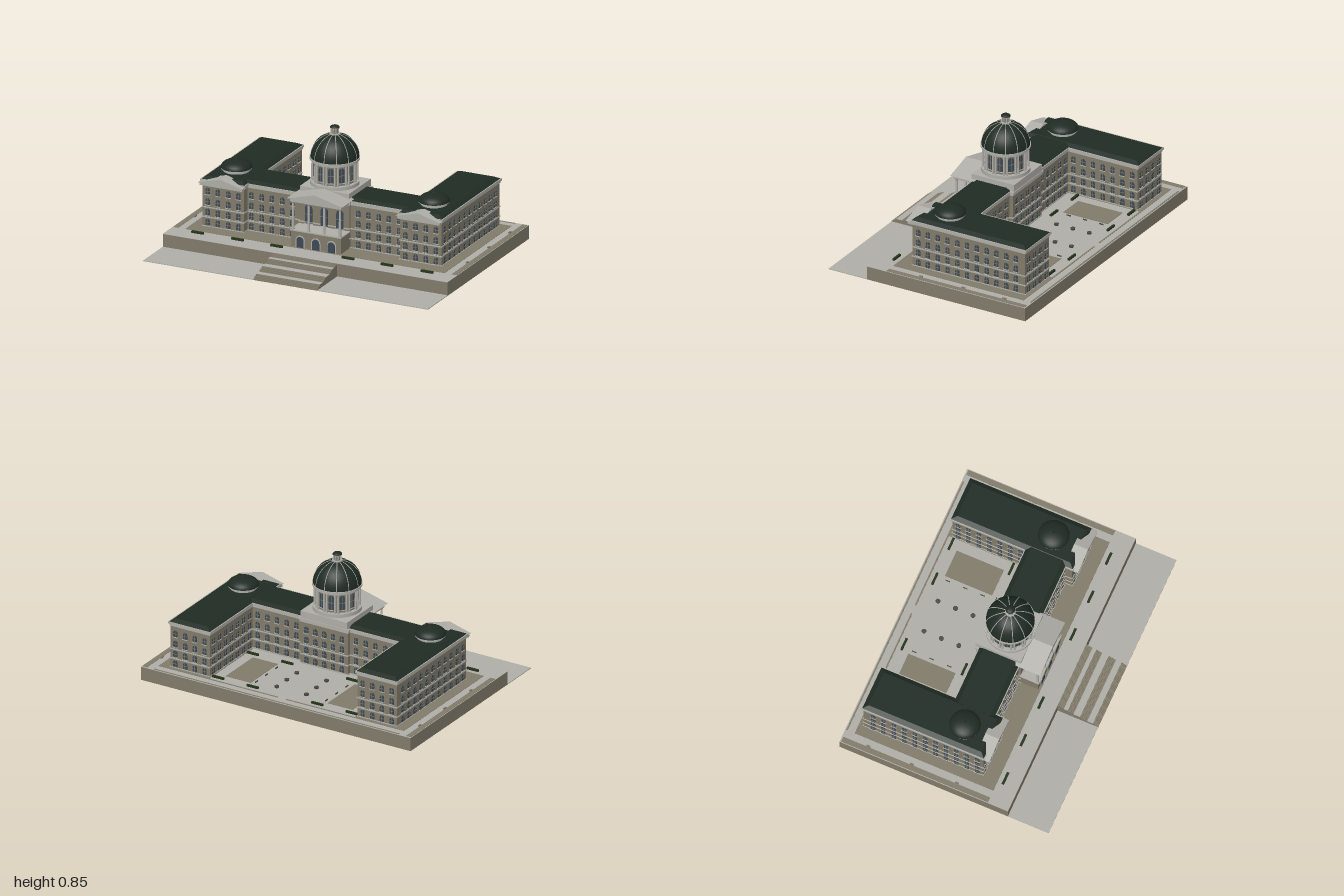
import * as THREE from 'three';
import { mergeGeometries } from 'three/addons/utils/BufferGeometryUtils.js';

const mat = (name, color) => {
  const m = new THREE.MeshStandardMaterial({ color });
  m.name = name;
  return m;
};

export function createModel() {
  const model = new THREE.Group();
  model.name = 'domedCivicBuilding';
  const wall = mat('taupeWall', 0x807a69);
  const stone = mat('paleStone', 0xaeada7);
  const roof = mat('darkGreenRoof', 0x1f2b23);
  const hedge = mat('hedgeGreen', 0x24331a);
  const glass = mat('slateGlass', 0x3b4854);
  const iron = mat('darkIron', 0x4a4a46);

  const add = (name, geo, material, x = 0, y = 0, z = 0) => {
    const m = new THREE.Mesh(geo, material);
    m.name = name;
    m.position.set(x, y, z);
    model.add(m);
    return m;
  };
  // Box given by its limits
  const block = (name, material, x0, x1, y0, y1, z0, z1) =>
    add(name, new THREE.BoxGeometry(x1 - x0, y1 - y0, z1 - z0), material, (x0 + x1) / 2, (y0 + y1) / 2, (z0 + z1) / 2);
  const cyl = (name, material, r0, r1, y0, y1, x, z, n = 32) =>
    add(name, new THREE.CylinderGeometry(r1, r0, y1 - y0, n), material, x, (y0 + y1) / 2, z);
  // Low hipped roof: a box whose top corners are pulled inward
  const hip = (name, x0, x1, y0, y1, z0, z1, inset) => {
    const g = new THREE.BoxGeometry(x1 - x0, y1 - y0, z1 - z0).toNonIndexed();
    const p = g.attributes.position;
    for (let i = 0; i < p.count; i++) if (p.getY(i) > 0) {
      p.setX(i, p.getX(i) - Math.sign(p.getX(i)) * inset);
      p.setZ(i, p.getZ(i) - Math.sign(p.getZ(i)) * inset);
    }
    g.computeVertexNormals();
    add(name, g, roof, (x0 + x1) / 2, (y0 + y1) / 2, (z0 + z1) / 2);
  };
  const arch = (w, h, depth) => {
    const s = new THREE.Shape();
    s.moveTo(-w / 2, 0).lineTo(w / 2, 0).lineTo(w / 2, h - w / 2);
    s.absarc(0, h - w / 2, w / 2, 0, Math.PI, false);
    s.lineTo(-w / 2, 0);
    return new THREE.ExtrudeGeometry(s, { depth, bevelEnabled: false, curveSegments: 6 });
  };
  const gable = (name, w, y0, y1, x, z0, z1) => {
    const s = new THREE.Shape();
    s.moveTo(-w / 2, 0).lineTo(w / 2, 0).lineTo(0, y1 - y0).lineTo(-w / 2, 0);
    add(name, new THREE.ExtrudeGeometry(s, { depth: z1 - z0, bevelEnabled: false }), stone, x, y0, z0);
  };

  // Windows: glass, glazing bars and sill, merged for each facade
  const rows = [0.102, 0.17, 0.24, 0.31];
  const facade = (name, x, z, angle, offsets, ys = rows, w = 0.03, h = 0.044) => {
    const panes = [], bars = [], sills = [];
    const box = (bw, bh, bd, bx, by, bz) => new THREE.BoxGeometry(bw, bh, bd).translate(bx, by, bz).toNonIndexed();
    for (const y of ys) for (const o of offsets) {
      panes.push(arch(w, h, 0.004).translate(o, y, 0));
      bars.push(box(0.003, h, 0.006, o, y + h / 2, 0.003), box(w, 0.003, 0.006, o, y + h / 2, 0.003));
      sills.push(box(w + 0.008, 0.004, 0.008, o, y - 0.002, 0.004));
    }
    [['Windows', panes, glass], ['Bars', bars, wall], ['Sills', sills, stone]].forEach(([n, list, m]) => {
      add(name + n, mergeGeometries(list), m, x, 0, z).rotation.y = angle;
    });
  };
  const spread = (n, pitch) => Array.from({ length: n }, (_, i) => (i - (n - 1) / 2) * pitch);

  // Terrace, paving and planted strips
  block('terrace', wall, -1, 1, 0, 0.09, -0.72, 0.44);
  block('terracePaving', stone, -1, 1, 0.09, 0.092, -0.72, 0.44);
  block('forecourt', stone, -1, 1, 0, 0.005, 0.44, 0.72);
  block('frontBed', wall, -0.91, 0.91, 0.092, 0.094, 0.14, 0.3);
  block('backStrip', wall, -0.91, 0.91, 0.092, 0.094, -0.713, -0.703);
  for (const s of [-1, 1]) {
    const mirrored = (name, m, a, b, ...rest) => block(name, m, Math.min(s * a, s * b), Math.max(s * a, s * b), ...rest);
    mirrored('edgeStrip', wall, 0.96, 0.995, 0.092, 0.094, -0.71, 0.3);
    mirrored('sideBed', wall, 0.54, 0.91, 0.092, 0.094, -0.655, 0.14);
    mirrored('courtStrip', wall, 0.03, 0.54, 0.092, 0.094, -0.655, -0.645);
    mirrored('courtBed', wall, 0.285, 0.47, 0.092, 0.094, -0.56, -0.235);
    for (const x of [0.25, 0.525, 0.805]) mirrored('frontHedge', hedge, x - 0.042, x + 0.042, 0.092, 0.105, 0.33, 0.345);
    for (const z of [-0.61, -0.195]) for (const x of [0.24, 0.495])
      mirrored('courtHedge', hedge, x - 0.042, x + 0.042, 0.092, 0.105, z - 0.007, z + 0.007);
    for (const z of [-0.53, -0.41, -0.29]) {
      cyl('courtPlanter', iron, 0.014, 0.016, 0.092, 0.104, s * 0.11, z, 8);
      mirrored('courtBench', iron, 0.258, 0.262, 0.092, 0.1, z - 0.015, z + 0.015);
    }
    for (const z of [-0.54, -0.24, 0.07]) mirrored('sideBench', wall, 0.95, 0.96, 0.092, 0.1, z - 0.013, z + 0.013);
  }

  // Front stairs: stepped flights, pale landings and side walls
  const flights = [[0.44, 0.483, 0.09, 0.077], [0.51, 0.55, 0.077, 0.054], [0.595, 0.645, 0.054, 0.032], [0.684, 0.72, 0.032, 0.008]];
  const cheek = new THREE.Shape();
  cheek.moveTo(0.44, 0);
  flights.forEach(([z0, z1, y0, y1], k) => {
    cheek.lineTo(z0, y0 + 0.002).lineTo(z1, y1 + 0.002);
    for (let i = 0; i < 4; i++)
      block('stairStep', wall, -0.225, 0.225, 0, y0 + (y1 - y0) * (i + 1) / 4, z0 + (z1 - z0) * i / 4, z0 + (z1 - z0) * (i + 1) / 4);
    if (k < 3) {
      block('landingBase', wall, -0.225, 0.225, 0, y1 - 0.002, z1, flights[k + 1][0]);
      block('landing', stone, -0.225, 0.225, y1 - 0.002, y1, z1, flights[k + 1][0]);
    }
  });
  cheek.lineTo(0.72, 0).lineTo(0.44, 0);
  for (const x of [-0.235, 0.225]) {
    const g = new THREE.ExtrudeGeometry(cheek, { depth: 0.01, bevelEnabled: false });
    add('stairSideWall', g.rotateY(-Math.PI / 2).scale(-1, 1, 1).rotateY(Math.PI).scale(-1, 1, 1).translate(0.01, 0, 0), wall, x);
  }

  // Wall mass with string courses and cornice
  const mass = (name, x0, x1, z0, z1) => {
    const ring = (n, y0, y1, e) => block(name + n, stone, x0 - e, x1 + e, y0, y1, z0 - e, z1 + e);
    block(name + 'Walls', wall, x0, x1, 0.09, 0.4, z0, z1);
    ring('Plinth', 0.09, 0.098, 0.004);
    ring('LowerBand', 0.154, 0.161, 0.004);
    ring('UpperBand', 0.22, 0.227, 0.004);
    ring('Frieze', 0.382, 0.395, 0.005);
    ring('Cornice', 0.395, 0.41, 0.011);
  };
  mass('connector', -0.56, 0.56, -0.115, 0.15);
  mass('centre', -0.175, 0.175, -0.14, 0.165);
  hip('connectorRoof', -0.6, 0.6, 0.41, 0.425, -0.12, 0.155, 0.03);

  for (const s of [-1, 1]) {
    const cx = s * 0.694;
    mass('wing', cx - 0.146, cx + 0.146, -0.625, 0.2);
    hip('wingRoof', cx - 0.15, cx + 0.15, 0.41, 0.427, -0.632, 0.205, 0.03);
    facade('wingFront', cx, 0.2, 0, spread(4, 0.072));
    facade('wingBack', cx, -0.625, Math.PI, spread(4, 0.072));
    facade('wingOuter', s * 0.84, -0.2, s * Math.PI / 2, spread(11, 0.0717));
    facade('wingInner', s * 0.548, -0.37, -s * Math.PI / 2, spread(7, 0.0717));
    facade('connectorFront', s * 0.375, 0.15, 0, spread(5, 0.072));
    facade('connectorBack', s * 0.365, -0.115, Math.PI, spread(5, 0.072));
    // Wing pediment and small dome
    block('wingEntablature', stone, cx - 0.15, cx + 0.15, 0.378, 0.398, 0.2, 0.235);
    gable('wingPediment', 0.312, 0.398, 0.44, cx, 0.15, 0.245);
    cyl('smallDrum', stone, 0.085, 0.085, 0.41, 0.442, cx, 0.01);
    cyl('smallDrumCornice', stone, 0.098, 0.098, 0.442, 0.45, cx, 0.01);
    add('smallDome', new THREE.SphereGeometry(0.1, 32, 8, 0, Math.PI * 2, 0, Math.PI / 2).scale(1, 0.52, 1), roof, cx, 0.45, 0.01);
    cyl('smallFinial', roof, 0.009, 0.002, 0.5, 0.517, cx, 0.01, 8);
  }
  facade('centreBack', 0, -0.14, Math.PI, spread(5, 0.066));
  facade('centreFront', 0, 0.165, 0, [-0.11, 0, 0.11], [0.215], 0.05, 0.125);

  // Portico: arcade podium, columns, entablature and pediment
  block('porticoPodium', wall, -0.175, 0.175, 0.09, 0.2, 0.16, 0.285);
  block('porticoFloor', stone, -0.18, 0.18, 0.2, 0.208, 0.16, 0.292);
  for (const x of [-0.11, 0, 0.11]) {
    add('archSurround', arch(0.064, 0.081, 0.004), stone, x, 0.092, 0.285);
    add('archDoor', arch(0.05, 0.073, 0.007), glass, x, 0.092, 0.285);
  }
  for (const x of [-0.165, -0.055, 0.055, 0.165]) {
    cyl('columnBase', stone, 0.012, 0.012, 0.208, 0.216, x, 0.278, 12);
    cyl('column', stone, 0.0085, 0.007, 0.216, 0.382, x, 0.278, 12);
    cyl('columnCapital', stone, 0.008, 0.013, 0.382, 0.394, x, 0.278, 12);
  }
  block('porticoEntablature', stone, -0.178, 0.178, 0.394, 0.418, 0.16, 0.292);
  gable('porticoPediment', 0.39, 0.418, 0.468, 0, 0.13, 0.308);

  // Main dome on its square plinth and colonnaded drum
  const dz = 0.016;
  block('domePlinth', stone, -0.172, 0.172, 0.41, 0.458, -0.147, 0.165);
  cyl('drumBase', stone, 0.157, 0.157, 0.458, 0.482, 0, dz, 48);
  cyl('drum', wall, 0.132, 0.132, 0.482, 0.615, 0, dz, 48);
  cyl('drumCornice', stone, 0.15, 0.15, 0.612, 0.624, 0, dz, 48);
  cyl('drumCorniceLip', stone, 0.16, 0.16, 0.624, 0.636, 0, dz, 48);
  add('mainDome', new THREE.SphereGeometry(0.154, 48, 16, 0, Math.PI * 2, 0, Math.PI / 2), roof, 0, 0.636, dz);
  for (let i = 0; i < 12; i++) {
    const a = i * Math.PI / 6, b = a + Math.PI / 12;
    add('domeRib', new THREE.TorusGeometry(0.1535, 0.0028, 5, 14, Math.PI / 2 - 0.15), stone, 0, 0.636, dz).rotation.y = a;
    for (const o of [-0.07, 0.07])
      cyl('drumColumn', stone, 0.007, 0.006, 0.482, 0.613, 0.143 * Math.sin(a + o), dz + 0.143 * Math.cos(a + o), 8);
    facade('drum', 0.13 * Math.sin(b), dz + 0.13 * Math.cos(b), b, [0], [0.5], 0.036, 0.098);
  }
  // Lantern
  cyl('lanternBase', stone, 0.034, 0.034, 0.782, 0.793, 0, dz, 16);
  cyl('lantern', wall, 0.022, 0.022, 0.793, 0.828, 0, dz, 16);
  for (let i = 0; i < 8; i++) {
    const a = i * Math.PI / 4;
    cyl('lanternColumn', stone, 0.004, 0.004, 0.793, 0.828, 0.024 * Math.sin(a), dz + 0.024 * Math.cos(a), 6);
  }
  cyl('lanternCornice', stone, 0.03, 0.03, 0.826, 0.831, 0, dz, 16);
  add('lanternCap', new THREE.SphereGeometry(0.031, 16, 6, 0, Math.PI * 2, 0, Math.PI / 2).scale(1, 0.5, 1), roof, 0, 0.831, dz);
  return model;
}
